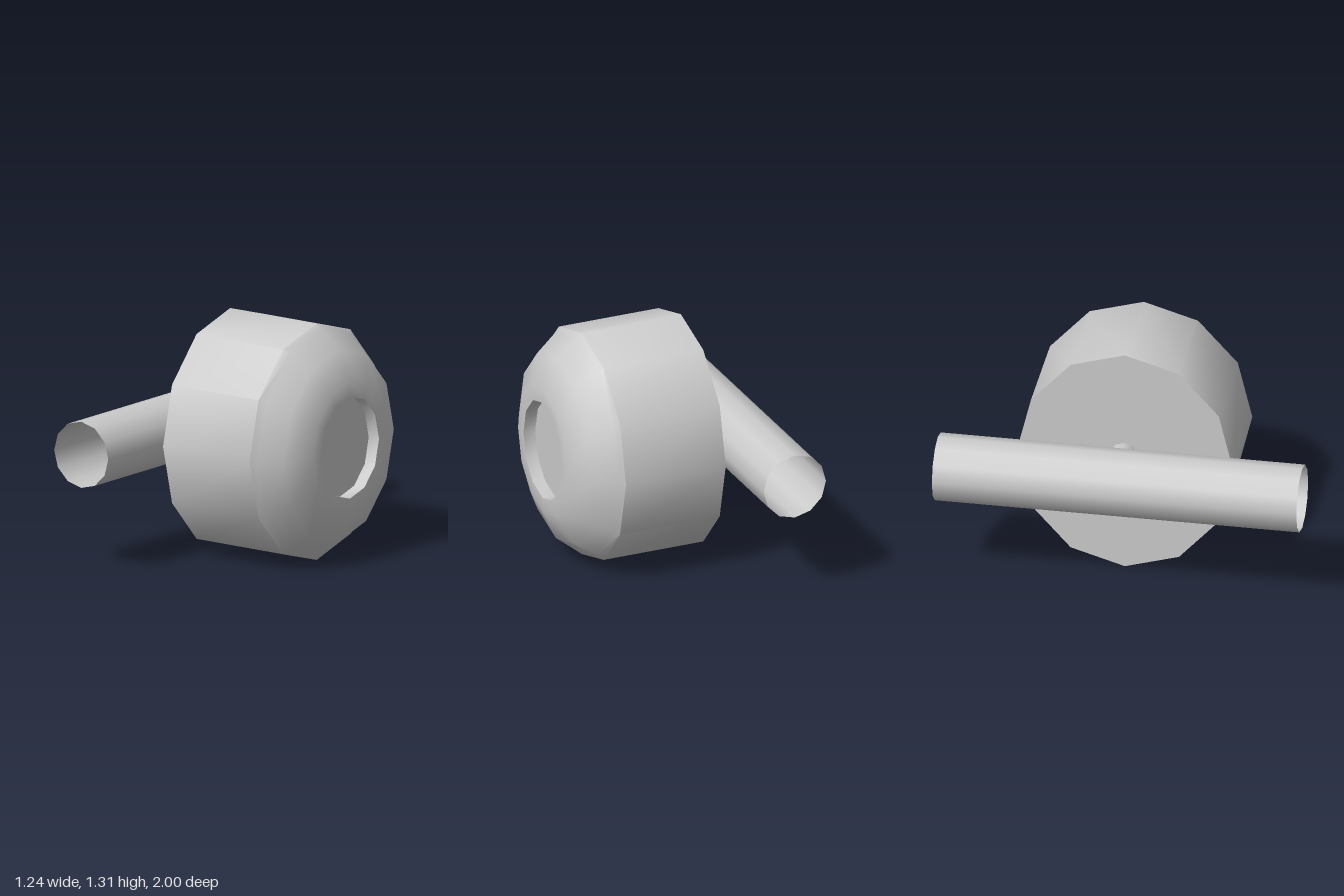
import * as THREE from 'three';
import { toCreasedNormals } from 'three/addons/utils/BufferGeometryUtils.js';

const SIDES = 12;
const CENTRE_Y = 0.66;
const CENTRE_Z = -0.015;

// Skin a series of elliptical rings [x, radiusY, radiusZ] along the x axis.
function ringGeometry(rings) {
  const positions = [];
  const index = [];
  for (const [x, ry, rz] of rings) {
    for (let j = 0; j < SIDES; j++) {
      const a = (j / SIDES) * Math.PI * 2;
      positions.push(x, ry * Math.cos(a), rz * Math.sin(a));
    }
  }
  for (let i = 0; i < rings.length - 1; i++) {
    for (let j = 0; j < SIDES; j++) {
      const k = (j + 1) % SIDES;
      const a = i * SIDES + j, b = i * SIDES + k;
      const c = a + SIDES, d = b + SIDES;
      if (rings[i][1] > 0) index.push(a, b, c);
      if (rings[i + 1][1] > 0) index.push(b, d, c);
    }
  }
  const geometry = new THREE.BufferGeometry();
  geometry.setAttribute('position', new THREE.Float32BufferAttribute(positions, 3));
  geometry.setIndex(index);
  return toCreasedNormals(geometry, 0.8);
}

export function createModel() {
  const group = new THREE.Group();
  const material = new THREE.MeshStandardMaterial({ color: 0xcccccc, side: THREE.DoubleSide });

  function add(name, geometry, x, y, z) {
    const mesh = new THREE.Mesh(geometry, material);
    mesh.name = name;
    mesh.position.set(x, y, z);
    group.add(mesh);
    return mesh;
  }

  // Drum with a flat back, rounded face and shallow recess
  add('body', ringGeometry([
    [-0.2, 0, 0],
    [-0.2, 0.657, 0.595],
    [0.39, 0.657, 0.595],
    [0.42, 0.631, 0.557],
    [0.54, 0.535, 0.489],
    [0.617, 0.362, 0.328],
    [0.617, 0.283, 0.257],
    [0.547, 0.283, 0.257],
    [0.547, 0, 0],
  ]), 0, CENTRE_Y, CENTRE_Z);

  // Short neck joining the drum to the tube
  add('neck', ringGeometry([
    [-0.32, 0.112, 0.102],
    [-0.2, 0.11, 0.092],
  ]), 0, CENTRE_Y, -0.02);

  // Open tube running front to back
  const tube = new THREE.CylinderGeometry(0.184, 0.184, 2, SIDES, 1, true);
  tube.rotateX(Math.PI / 2);
  add('tube', tube, -0.435, CENTRE_Y, 0);

  return group;
}
